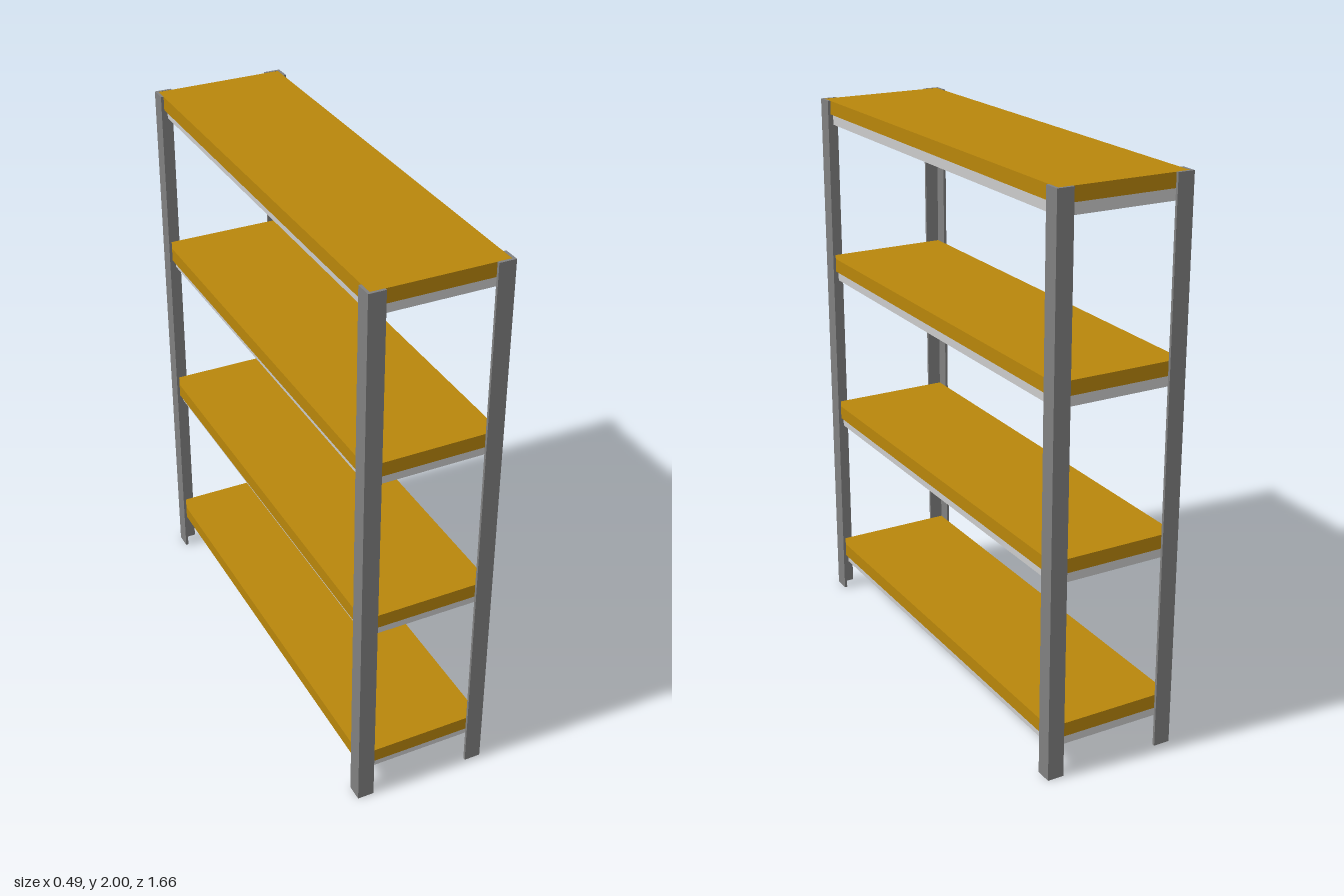
import * as THREE from 'three';

const HEIGHT = 2, HALF_X = 0.244, HALF_Z = 0.829;
const FLANGE = 0.06, SHEET = 0.01;
const BOARD = 0.05, TRAY = 0.045, INSET = 0.022;

const steel = new THREE.MeshStandardMaterial({ color: 0x808080 });
const paleSteel = new THREE.MeshStandardMaterial({ color: 0xcccccc });
const wood = new THREE.MeshStandardMaterial({ color: 0xb8860b });

// L-section post with its outer corner at (sx * HALF_X, sz * HALF_Z)
function makePost(sx, sz) {
  const points = [
    [0, 0], [FLANGE, 0], [FLANGE, SHEET], [SHEET, SHEET], [SHEET, FLANGE], [0, FLANGE],
  ].map(([a, b]) => new THREE.Vector2(sx * (HALF_X - a), -sz * (HALF_Z - b)));
  const geometry = new THREE.ExtrudeGeometry(new THREE.Shape(points), {
    depth: HEIGHT, bevelEnabled: false,
  });
  geometry.rotateX(-Math.PI / 2);
  const post = new THREE.Mesh(geometry, steel);
  post.name = (sz > 0 ? 'front' : 'back') + (sx > 0 ? 'Left' : 'Right') + 'Post';
  return post;
}

// Wooden board resting on a slightly smaller steel support
function makeShelf(top) {
  const shelf = new THREE.Group();
  const w = 2 * (HALF_X - SHEET), d = 2 * (HALF_Z - SHEET);
  const board = new THREE.Mesh(new THREE.BoxGeometry(w, BOARD, d), wood);
  board.name = 'shelfBoard';
  board.position.y = top - BOARD / 2;
  const support = new THREE.Mesh(
    new THREE.BoxGeometry(w - 2 * INSET, TRAY, d - 2 * INSET), paleSteel);
  support.name = 'shelfSupport';
  support.position.y = top - BOARD - TRAY / 2;
  shelf.add(board, support);
  return shelf;
}

export function createModel() {
  const model = new THREE.Group();
  model.name = 'storageRack';

  for (const sx of [-1, 1]) for (const sz of [-1, 1]) model.add(makePost(sx, sz));

  for (let i = 0; i < 4; i++) {
    const shelf = makeShelf(0.195 + i * 0.6015);
    shelf.name = 'shelf' + (i + 1);
    model.add(shelf);
  }
  return model;
}
